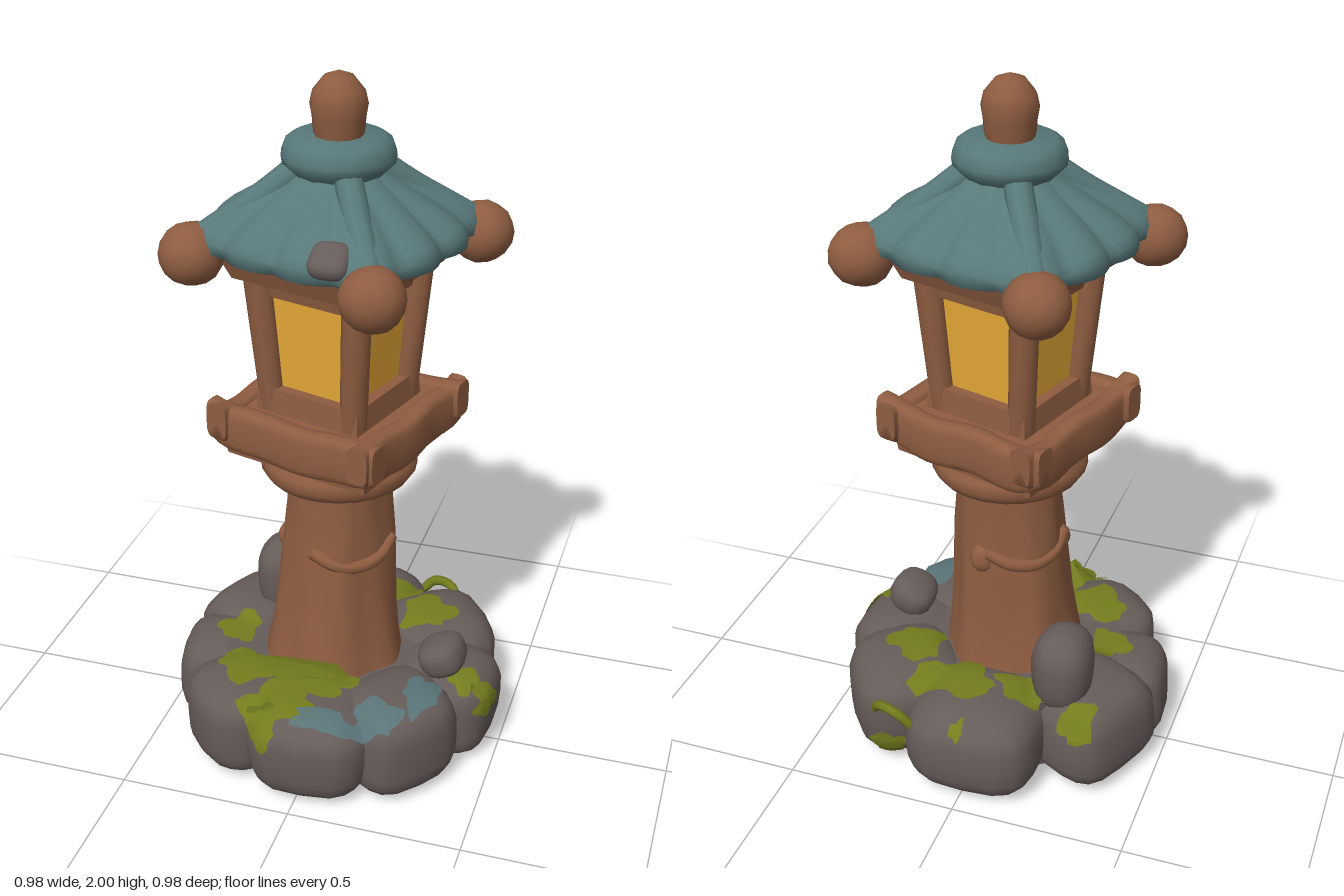
import * as THREE from 'three';
import { mergeVertices, toCreasedNormals } from 'three/addons/utils/BufferGeometryUtils.js';

const mat = (name, color, side = THREE.FrontSide) => {
  const m = new THREE.MeshStandardMaterial({ color, side });
  m.name = name;
  return m;
};
const rock = mat('rock grey', 0x665c59);
const wood = mat('weathered brown', 0x8f5d41);
const slate = mat('roof teal', 0x58787a);
const water = mat('puddle teal', 0x5a7478, THREE.DoubleSide);
const moss = mat('moss green', 0x747c1e, THREE.DoubleSide);
const glow = mat('lamp yellow', 0xe6a936);

const V = (x, y, z) => new THREE.Vector3(x, y, z);
const TURN = -0.28; // the lantern stands slightly turned on its base

function add(parent, name, geo, material) {
  const m = new THREE.Mesh(geo, material);
  m.name = name;
  parent.add(m);
  return m;
}

// Weld, move every vertex by a rule, then smooth
function shapeBy(geo, rule) {
  geo.deleteAttribute('uv');
  geo.deleteAttribute('normal');
  const g = mergeVertices(geo, 1e-4), p = g.attributes.position, v = V(0, 0, 0);
  for (let i = 0; i < p.count; i++) {
    rule(v.fromBufferAttribute(p, i));
    p.setXYZ(i, v.x, v.y, v.z);
  }
  g.computeVertexNormals();
  return g;
}
const wobble = (v, f, s) => Math.sin(v.x * f + s) * Math.cos(v.z * f * 1.2 + s * 2) + 0.5 * Math.sin(v.y * f * 1.1 + s * 3);
const soften = (n, power) => Math.sign(n) * Math.abs(n) ** power;

// Rounded, boxy boulder
function boulder(w, h, d, seed, power = 0.64) {
  return shapeBy(new THREE.SphereGeometry(1, 18, 14), (v) => {
    const k = 1 + 0.05 * wobble(v, 3, seed);
    v.set(soften(v.x, power) * w * k, soften(v.y, power) * h, soften(v.z, power) * d * k);
  });
}

// Surface from rings; point(row, angle) gives each vertex, rows run outward from the top
function rings(rows, cols, point) {
  const pos = [], idx = [];
  for (let i = 0; i < rows; i++)
    for (let j = 0; j < cols; j++) pos.push(...point(i, (j / cols) * Math.PI * 2));
  for (let i = 0; i < rows - 1; i++)
    for (let j = 0; j < cols; j++) {
      const a = i * cols + j, b = i * cols + ((j + 1) % cols);
      idx.push(a, b, a + cols, b, b + cols, a + cols);
    }
  const g = new THREE.BufferGeometry();
  g.setAttribute('position', new THREE.Float32BufferAttribute(pos, 3));
  g.setIndex(idx);
  g.computeVertexNormals();
  return g;
}

const lathe = (pts, n = 24) => toCreasedNormals(new THREE.LatheGeometry(pts.map((p) => new THREE.Vector2(...p)), n), 0.8);

// Square frustum whose corners lie on the diagonals
const frustum = (rTop, rBottom, y0, y1) =>
  toCreasedNormals(new THREE.CylinderGeometry(rTop, rBottom, y1 - y0, 4).rotateY(Math.PI / 4).translate(0, (y0 + y1) / 2, 0), 0.5);

// Patch laid over the given meshes by casting rays onto them
function patch(targets, from, dir, ru, rv, seed) {
  const d = dir.clone().normalize();
  const w = d.clone().cross(Math.abs(d.y) > 0.9 ? V(1, 0, 0) : V(0, 1, 0)).normalize(), u = w.clone().cross(d);
  const ray = new THREE.Raycaster();
  const hit = (o) => {
    ray.set(o, d);
    const h = ray.intersectObjects(targets)[0];
    return h ? h.distance : 9;
  };
  const mid = hit(from);
  return rings(6, 24, (i, a) => {
    const r = (i / 5) * (1 + 0.17 * Math.sin(3 * a + seed) + 0.13 * Math.sin(5 * a + seed * 2) + 0.06 * Math.sin(9 * a));
    const o = from.clone().addScaledVector(u, Math.cos(a) * r * ru).addScaledVector(w, Math.sin(a) * r * rv);
    return o.addScaledVector(d, Math.min(hit(o), mid + 0.05) - 0.009).toArray();
  });
}

function buildBase(root) {
  const base = new THREE.Group();
  base.name = 'rockBase';
  root.add(base);
  const targets = [add(base, 'baseCore', new THREE.CylinderGeometry(0.34, 0.3, 0.262, 24).translate(0, 0.133, 0), rock)];
  // angle, distance, radial half, tangent half, height
  [[87, 0.3, 0.18, 0.195, 0.275], [130, 0.33, 0.155, 0.16, 0.275], [171, 0.34, 0.145, 0.14, 0.265], [207, 0.33, 0.165, 0.18, 0.29],
    [268, 0.3, 0.185, 0.2, 0.285], [322, 0.32, 0.17, 0.175, 0.295], [2, 0.325, 0.165, 0.155, 0.275], [43, 0.32, 0.16, 0.17, 0.285]]
    .forEach(([deg, dist, w, d, h], i) => {
      const a = THREE.MathUtils.degToRad(deg);
      const g = boulder(w, h / 2, d, i * 1.7).rotateY(-a).translate(Math.cos(a) * dist, h / 2, Math.sin(a) * dist);
      targets.push(add(base, 'baseStone', g, rock));
    });
  add(base, 'backBoulder', boulder(0.085, 0.13, 0.1, 2, 0.8).translate(-0.23, 0.34, -0.19), rock);
  add(base, 'sideStone', boulder(0.07, 0.055, 0.08, 4, 0.8).rotateZ(0.4).translate(0.33, 0.31, 0.05), rock);

  const down = V(0, -1, 0);
  // x, z, half width, half depth
  [[-0.07, 0.35, 0.1, 0.09], [-0.31, -0.31, 0.05, 0.05], [0.07, -0.28, 0.12, 0.08], [0.4, 0.09, 0.05, 0.045], [-0.3, 0.04, 0.06, 0.07],
    [-0.13, -0.25, 0.08, 0.06], [0.23, -0.17, 0.08, 0.08], [-0.2, 0.22, 0.1, 0.08], [0, 0.23, 0.13, 0.07]]
    .forEach(([x, z, a, b], i) => add(base, 'topMoss', patch(targets, V(x, 1, z), down, a, b, i * 1.3), moss));
  // start point, ray direction and size of the moss on the sides
  [[V(-0.1, 0.24, 1), V(0, 0, -1), 0.05], [V(1, 0.21, 0.09), V(-1, 0, 0), 0.05], [V(0.24, 0.08, -1), V(0, 0, 1), 0.05],
    [V(0, 0.25, -1), V(0, 0, 1), 0.02]]
    .forEach(([o, d, r], i) => add(base, 'sideMoss', patch(targets, o, d, r, r, i * 2.1), moss));
  // Puddle curving round the front
  [[0.08, 0.4, 0.1, 0.04], [0.21, 0.34, 0.07, 0.06], [0.31, 0.22, 0.05, 0.08]]
    .forEach(([x, z, a, b], i) => add(base, 'puddle', patch(targets, V(x, 1, z), down, a, b, i + 1), water));

  // Loose sheet of moss in front of the pillar, and a strand at the back
  add(base, 'mossSheet', rings(2, 20, (i, a) => {
    const r = i * (1 + 0.12 * Math.sin(4 * a));
    return [-0.02 + Math.cos(a) * r * 0.13, 0.332 + Math.sin(a) * r * 0.018 + 0.012 * (1 - i), 0.255 + Math.sin(a) * r * 0.065];
  }), moss);
  const strand = new THREE.CatmullRomCurve3([V(0.15, 0.2, -0.42), V(0.19, 0.24, -0.43), V(0.25, 0.24, -0.41), V(0.28, 0.2, -0.38)]);
  add(base, 'mossStrand', new THREE.TubeGeometry(strand, 10, 0.015, 6), moss);
}

function buildPillar(root) {
  const bark = new THREE.LatheGeometry([[0.205, 0.24], [0.19, 0.32], [0.175, 0.42], [0.165, 0.54], [0.157, 0.66], [0.147, 0.78], [0.147, 0.9]]
    .map((p) => new THREE.Vector2(...p)), 36);
  add(root, 'pillar', shapeBy(bark, (v) => {
    const a = Math.atan2(v.z, v.x), k = 1 + 0.035 * Math.sin(5 * a + v.y * 3) + 0.02 * Math.sin(9 * a - v.y * 5);
    const lean = Math.max(0, 0.7 - v.y) * 0.025;
    v.x = v.x * k - lean;
    v.z = v.z * k + lean;
  }), wood);
  // Sagging bands round the trunk
  for (const mid of [0.9, 3.9]) {
    const pts = [-0.9, -0.45, 0, 0.45, 0.9].map((t) => V(Math.cos(mid + t) * 0.155, 0.615 + 0.05 * t * t, Math.sin(mid + t) * 0.155));
    add(root, 'trunkBand', new THREE.TubeGeometry(new THREE.CatmullRomCurve3(pts), 20, 0.02, 8), wood);
  }
  add(root, 'trunkKnot', boulder(0.03, 0.035, 0.04, 1, 0.9).translate(-0.14, 0.63, 0.03), wood);
  add(root, 'trunkKnot', boulder(0.035, 0.045, 0.03, 3, 0.9).translate(0.03, 0.63, -0.145), wood);
  add(root, 'collar', lathe([[0.13, 0.83], [0.16, 0.845], [0.205, 0.855], [0.222, 0.88], [0.22, 0.91], [0.2, 0.935], [0.19, 0.97]]), wood);
}

function buildLamp(root) {
  const lamp = new THREE.Group();
  lamp.name = 'lamp';
  lamp.rotation.y = TURN;
  root.add(lamp);
  add(lamp, 'platform', frustum(0.335, 0.315, 0.94, 1.07), wood);
  add(lamp, 'sill', frustum(0.225, 0.235, 1.05, 1.14), wood);
  add(lamp, 'glowingPanes', frustum(0.205, 0.182, 1.13, 1.43), glow);
  add(lamp, 'topRail', frustum(0.24, 0.225, 1.41, 1.47), wood);
  add(lamp, 'eaveBeam', frustum(0.33, 0.29, 1.46, 1.535), wood);

  for (let i = 0; i < 4; i++) {
    const side = new THREE.Group();
    side.name = 'lampSide';
    side.rotation.y = (i * Math.PI) / 2;
    lamp.add(side);
    // Squared rail log with slightly raised ends
    const log = new THREE.CylinderGeometry(1, 1, 0.54, 16, 16).rotateZ(Math.PI / 2);
    const rail = shapeBy(log, (v) => {
      const e = Math.abs(v.x) / 0.27, thin = 1 - 0.2 * e ** 6;
      v.y = soften(v.y, 0.5) * 0.066 * thin + 0.028 * e ** 6 - 0.005 * Math.cos(v.x * 22 + i);
      v.z = soften(v.z, 0.5) * 0.032 + 0.004 * Math.sin(v.x * 25 + i * 2);
    });
    add(side, 'rail', toCreasedNormals(rail.translate(0, 1.022, 0.224), 1), wood);
    // Corner post leaning outward
    const post = new THREE.CylinderGeometry(0.041, 0.037, 0.43, 8).rotateY(Math.PI / 8);
    const m = add(side, 'cornerPost', toCreasedNormals(post, 0.9), wood);
    m.position.set(0.143, 1.265, 0.143);
    m.quaternion.setFromUnitVectors(V(0, 1, 0), V(0.028, 0.42, 0.028).normalize());
  }
}

function buildRoof(root) {
  const roof = new THREE.Group();
  roof.name = 'roof';
  roof.rotation.y = TURN;
  root.add(roof);
  const scallop = (a) => Math.abs(Math.sin(6 * a));
  const eave = (a) => 0.31 + 0.05 * ((1 - Math.cos(4 * a)) / 2) ** 2 + 0.028 * scallop(a);
  const steps = [0, 0.2, 0.4, 0.6, 0.8, 0.93, 1];
  const ringAt = (r, y, a) => [Math.cos(a) * r, y, Math.sin(a) * r];
  add(roof, 'roofTiles', rings(steps.length + 2, 96, (i, a) => {
    const R = eave(a);
    if (i === steps.length) return ringAt(R, 1.555, a);
    if (i > steps.length) return ringAt(R - 0.03, 1.54, a);
    const s = steps[i];
    return ringAt(0.1 + (R - 0.1) * s, 1.76 - 0.155 * s ** 0.85 - 0.026 * s ** 8 + 0.014 * s * scallop(a), a);
  }), slate);
  add(roof, 'soffit', rings(2, 96, (i, a) => (i ? ringAt(0.18, 1.525, a) : ringAt(eave(a) - 0.028, 1.541, a))), wood);

  for (let i = 0; i < 4; i++) {
    const a = Math.PI / 4 + (i * Math.PI) / 2;
    const ridge = new THREE.CatmullRomCurve3([[0.1, 1.755], [0.2, 1.682], [0.29, 1.625], [0.37, 1.575]].map(([r, y]) => V(...ringAt(r, y, a))));
    add(roof, 'ridge', new THREE.TubeGeometry(ridge, 14, 0.038, 10), slate);
    const ball = shapeBy(new THREE.IcosahedronGeometry(0.086, 2), (v) => v.multiplyScalar(1 + 0.03 * wobble(v, 30, i)));
    add(roof, 'cornerBall', ball.translate(...ringAt(0.393, 1.537, a)), wood);
  }
  add(roof, 'roofCap', lathe([[0.1, 1.72], [0.125, 1.74], [0.15, 1.765], [0.153, 1.785], [0.14, 1.82], [0.12, 1.832], [0, 1.835]], 16), slate);
  add(roof, 'finial', lathe([[0.062, 1.82], [0.068, 1.85], [0.07, 1.88], [0.076, 1.915], [0.068, 1.95], [0.04, 1.985], [0, 2]], 12), wood);
  const chip = boulder(0.055, 0.03, 0.055, 5, 0.7).rotateX(0.5);
  add(root, 'brokenTile', chip.translate(0.07, 1.61, 0.305), rock);
}

export function createModel() {
  const root = new THREE.Group();
  root.name = 'gardenLantern';
  buildBase(root);
  buildPillar(root);
  buildLamp(root);
  buildRoof(root);
  return root;
}
